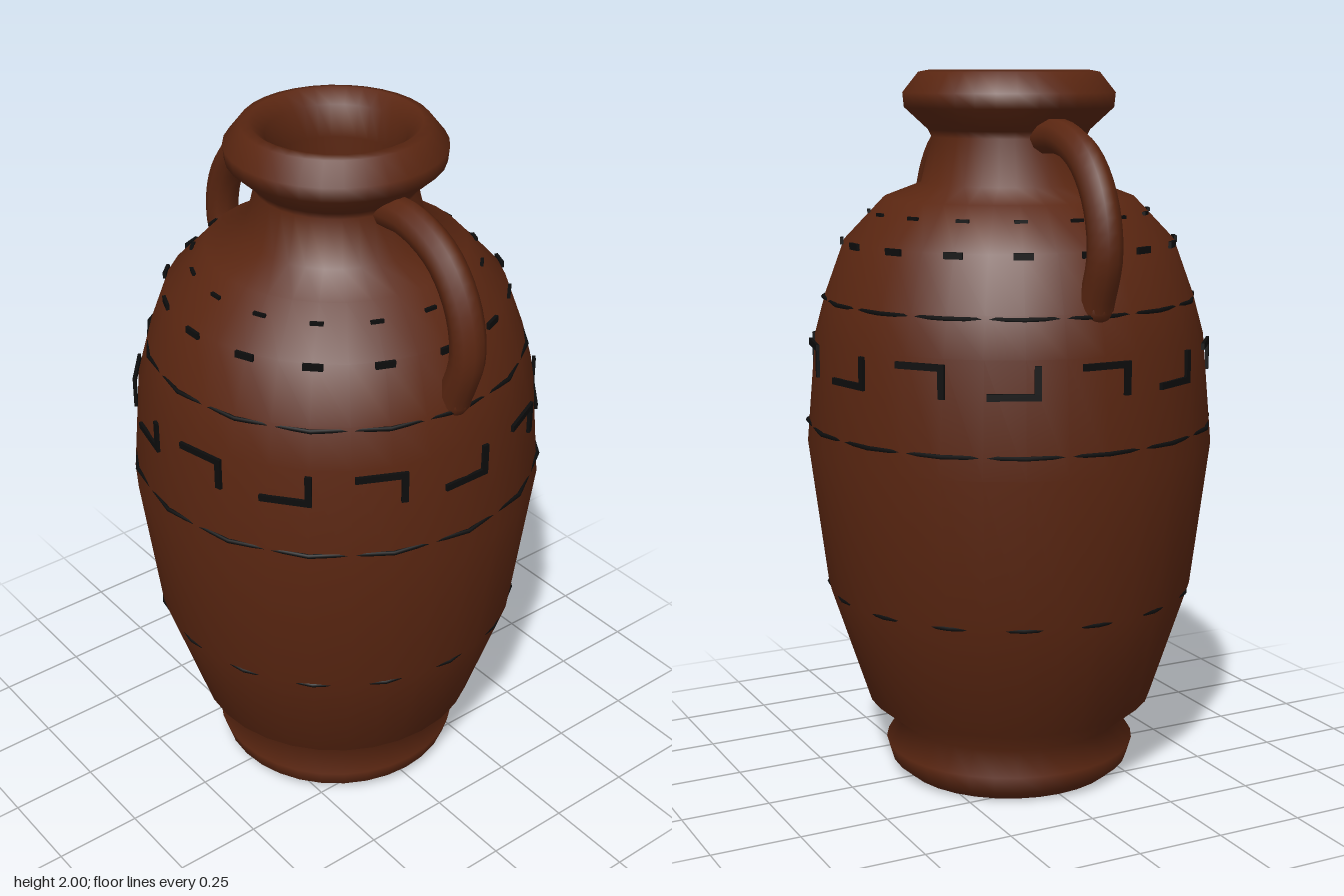
import * as THREE from 'three';

const clay = new THREE.MeshStandardMaterial({ color: 0x5a2611 });
clay.name = 'clay';
const glaze = new THREE.MeshStandardMaterial({ color: 0x0d0d0d });
glaze.name = 'blackGlaze';

const v2 = ([r, y]) => new THREE.Vector2(r, y);

export function createModel() {
  const model = new THREE.Group();
  const add = (name, geometry, material, parent = model) => {
    const mesh = new THREE.Mesh(geometry, material);
    mesh.name = name;
    parent.add(mesh);
    return mesh;
  };

  // Body in one turned profile: recessed base, foot, belly, shoulder, neck, lip and inner neck
  const profile = [
    [0, 0.1], [0.22, 0.08], [0.25, 0.03], [0.27, 0.005], [0.31, 0], [0.345, 0.03], [0.36, 0.08],
    [0.32, 0.145], [0.41, 0.22], [0.52, 0.555], [0.572, 0.97], [0.545, 1.28], [0.515, 1.39],
    [0.46, 1.54], [0.35, 1.655], [0.245, 1.695], [0.215, 1.82], [0.225, 1.84], [0.29, 1.9],
    [0.294, 1.94], [0.25, 1.995], [0.225, 2], [0.185, 1.965], [0.17, 1.88], [0.18, 1.6],
  ].map(v2);
  add('body', new THREE.LatheGeometry(profile, 32), clay);

  // Dark interior closing off the neck
  const inside = add('interior', new THREE.CircleGeometry(0.166, 16), glaze);
  inside.rotation.x = -Math.PI / 2;
  inside.position.y = 1.6;

  // Two loop handles from neck to shoulder
  for (const side of [1, -1]) {
    const path = new THREE.CatmullRomCurve3([
      [0.19, 1.825], [0.31, 1.827], [0.43, 1.775], [0.51, 1.67], [0.535, 1.54], [0.49, 1.4],
    ].map(([x, y]) => new THREE.Vector3(side * x, y, 0)));
    const handle = new THREE.Group();
    handle.name = side > 0 ? 'leftHandle' : 'rightHandle';
    model.add(handle);
    add('loop', new THREE.TubeGeometry(path, 20, 0.047, 10), clay, handle);
    add('handleEnd', new THREE.SphereGeometry(0.047, 10, 8), clay, handle)
      .position.set(side * 0.49, 1.4, 0);
  }

  // Painted rings: sixteen-sided, so they surface as broken lines on the rounder body
  for (const [y, radius] of [[0.555, 0.519], [1.03, 0.571], [1.38, 0.521]]) {
    const ring = add('paintedRing', new THREE.TorusGeometry(radius, 0.006, 6, 16), glaze);
    ring.rotation.x = Math.PI / 2;
    ring.position.y = y;
  }

  // Places count groups around the body, each facing outwards
  const around = (count, radius, y, build) => {
    for (let i = 0; i < count; i++) {
      const angle = (i / count) * Math.PI * 2;
      const mark = new THREE.Group();
      mark.name = 'paintedMark';
      mark.position.set(Math.cos(angle) * radius, y, Math.sin(angle) * radius);
      mark.rotation.y = Math.PI / 2 - angle;
      model.add(mark);
      build(mark, i);
    }
  };

  // Two rows of shoulder dashes
  const dash = new THREE.BoxGeometry(0.052, 0.018, 0.009);
  const smallDash = new THREE.BoxGeometry(0.035, 0.009, 0.009);
  around(16, 0.466, 1.535, (mark) => add('dash', dash, glaze, mark));
  around(16, 0.39, 1.617, (mark) => add('smallDash', smallDash, glaze, mark));

  // Key pattern: alternating upper and lower corner marks
  const bar = new THREE.BoxGeometry(0.14, 0.018, 0.009);
  const post = new THREE.BoxGeometry(0.018, 0.09, 0.009);
  around(14, 0.554, 1.222, (mark, i) => {
    add('keyBar', bar, glaze, mark).position.y = i % 2 ? 0.036 : -0.036;
    add('keyPost', post, glaze, mark).position.x = 0.061;
  });

  return model;
}
